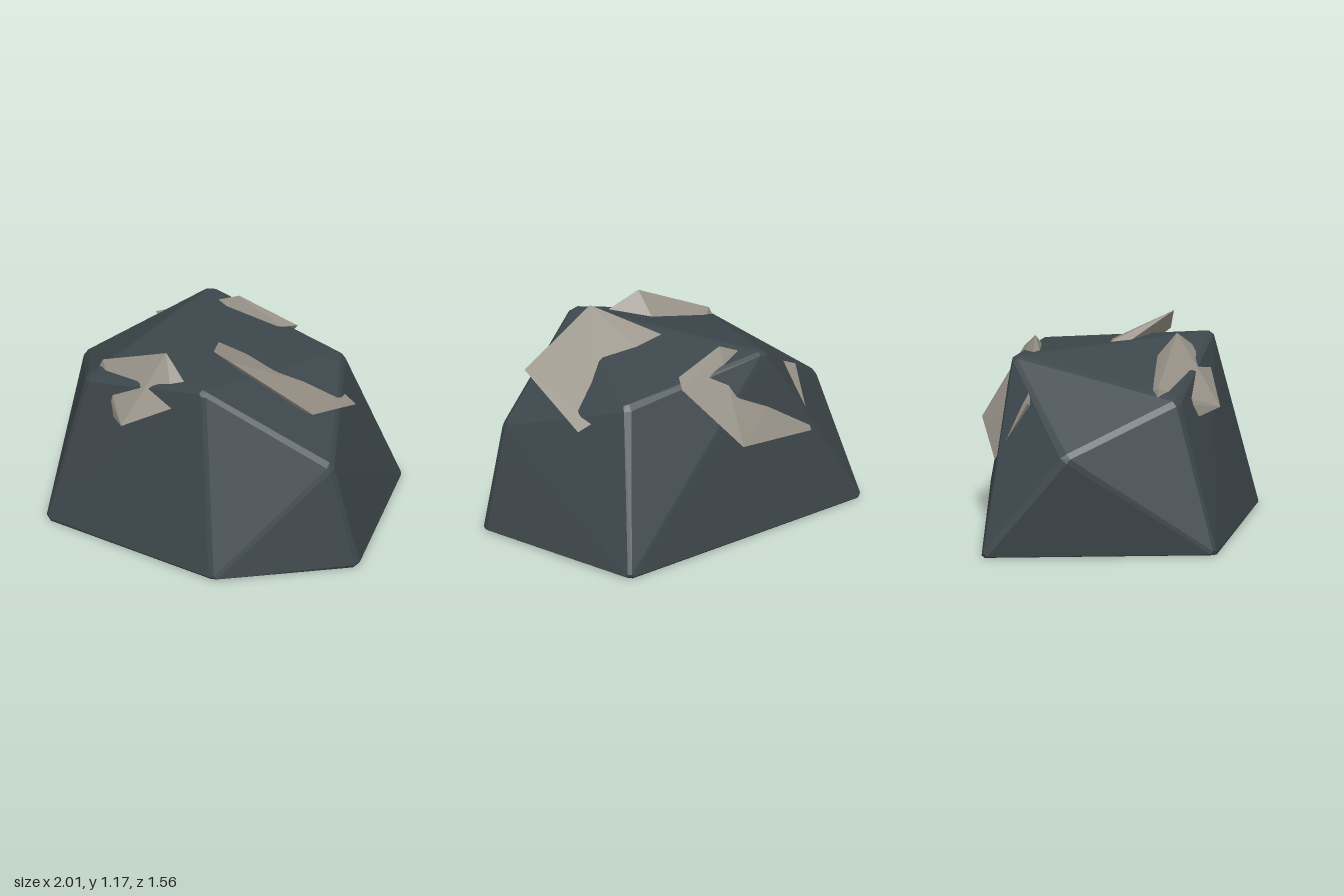
import * as THREE from 'three';
import { ConvexGeometry } from 'three/addons/geometries/ConvexGeometry.js';

const toVectors = (points) => points.map((p) => new THREE.Vector3(...p));

// Convex solid whose edges are cut off by pulling each face in from its corners
function bevelledHull(corners, inset) {
  const pos = new ConvexGeometry(toVectors(corners)).attributes.position;
  const points = [];
  for (let i = 0; i < pos.count; i += 3) {
    const tri = [0, 1, 2].map((k) => new THREE.Vector3().fromBufferAttribute(pos, i + k));
    const centre = new THREE.Vector3().add(tri[0]).add(tri[1]).add(tri[2]).divideScalar(3);
    for (const v of tri) {
      const step = centre.clone().sub(v).setLength(inset);
      points.push(v.clone().add(step));
    }
  }
  return new ConvexGeometry(points);
}

export function createModel() {
  const group = new THREE.Group();
  const rockMaterial = new THREE.MeshStandardMaterial({ color: 0x3d474b, flatShading: true });
  const slabMaterial = new THREE.MeshStandardMaterial({ color: 0x9a948a, flatShading: true });

  const add = (name, geometry, material) => {
    const mesh = new THREE.Mesh(geometry, material);
    mesh.name = name;
    group.add(mesh);
  };

  // Main boulder: five-sided foot and six upper corners
  add('boulder', bevelledHull([
    [-0.98, 0, -0.7], [0.74, 0, -0.79], [1.02, 0, 0.24], [0.36, 0, 0.78], [-0.8, 0, 0.63],
    [-1.01, 0.61, -0.22], [-0.66, 0.87, 0.4], [0.17, 1.07, 0.53],
    [0.86, 0.63, 0.26], [0.53, 0.91, -0.48], [-0.38, 1.04, -0.57],
  ], 0.035), rockMaterial);

  // Pale slabs wedged through the boulder's upper ridges
  const slabs = {
    frontSlab: [
      [-0.65, 0.86, 0.28], [-0.62, 0.93, 0.28], [-0.17, 1.14, 0.35], [0.02, 1.01, 0.44],
      [-0.03, 0.91, 0.53], [-0.32, 0.75, 0.61], [-0.47, 0.71, 0.46],
      [-0.19, 0.96, 0.2], [-0.53, 0.88, 0.21],
    ],
    sideSlab: [
      [0.21, 1.17, 0.3], [0.72, 0.93, 0.24], [0.72, 0.73, -0.27], [0.63, 0.77, -0.29],
      [0.12, 0.98, -0.12], [-0.05, 1.04, -0.05], [-0.07, 1.02, 0.02],
      [0.2, 0.97, 0.1], [0.55, 0.8, 0.05],
    ],
    backSlab: [
      [-0.14, 1.1, -0.46], [0.19, 0.95, -0.55], [-0.08, 0.6, -0.77], [-0.65, 0.5, -0.65],
      [-0.68, 0.84, -0.46], [0.14, 0.98, -0.45], [-0.25, 0.98, -0.41], [-0.6, 0.8, -0.43],
    ],
  };
  for (const [name, points] of Object.entries(slabs)) {
    add(name, new ConvexGeometry(toVectors(points)), slabMaterial);
  }

  return group;
}
